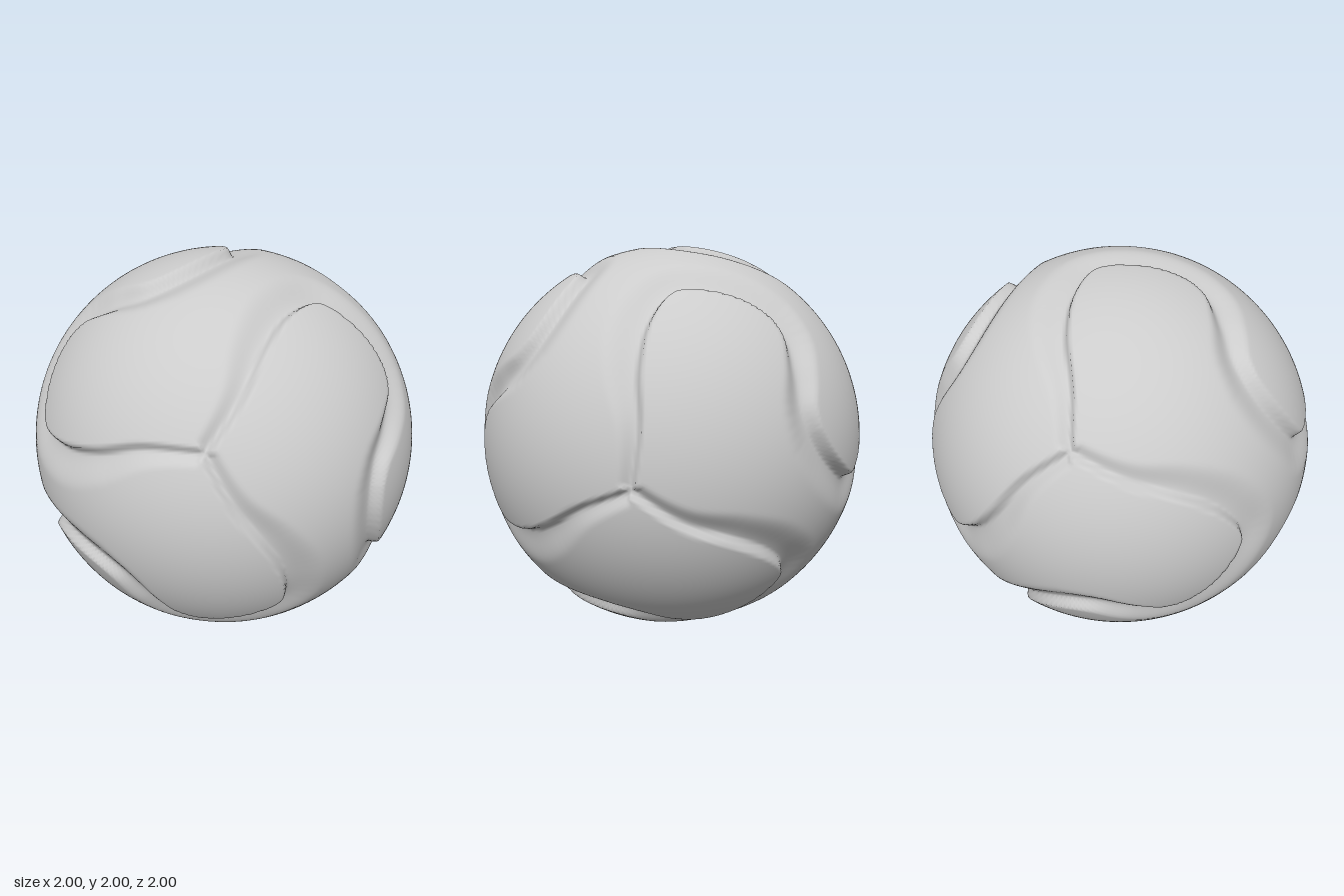
import * as THREE from 'three';
import { mergeGeometries, mergeVertices } from 'three/addons/utils/BufferGeometryUtils.js';

const GRID = 100;          // cells along each cube-sphere patch
const SEAM_STEPS = 96;     // segments per S-shaped seam
const V = (x, y, z) => new THREE.Vector3(x, y, z);

// Six rotations carrying the +z patch onto every side of the cube-sphere
function patchRotations() {
  const turn = new THREE.Matrix4().makeRotationAxis(V(1, 1, 1).normalize(), Math.PI * 2 / 3);
  const flip = new THREE.Matrix4().makeRotationX(Math.PI);
  const list = [];
  let m = new THREE.Matrix4();
  for (let i = 0; i < 3; i++) {
    list.push(m.clone(), m.clone().multiply(flip));
    m = turn.clone().multiply(m);
  }
  return list;
}

// One seam: corner joint -> hooked lobe -> patch centre -> mirrored lobe -> opposite joint
function seamPoints() {
  const half = [[0.816, 0], [0.69, 0.21], [0.555, 0.41], [0.36, 0.565], [0.165, 0.615],
    [0.05, 0.54], [-0.07, 0.36], [-0.09, 0.16]];
  const back = half.map(([u, w]) => [-u, -w]).reverse();
  const pts = [...half, [0, 0], ...back].map(([u, w]) =>
    V((u + w) * Math.SQRT1_2, (u - w) * Math.SQRT1_2, Math.sqrt(1 - u * u - w * w)));
  return new THREE.CatmullRomCurve3(pts).getSpacedPoints(SEAM_STEPS).map(p => p.normalize());
}

// Nearest seam position: distance, side of the seam and place along it (-1..1)
function nearestSeam(p, seams) {
  const best = { d2: Infinity, side: 1, t: 0 };
  const ab = V(), ap = V(), c = V();
  for (const seam of seams) {
    for (let i = 0; i < SEAM_STEPS; i++) {
      const a = seam[i];
      if (p.dot(a) < 0.9) continue;
      ab.subVectors(seam[i + 1], a);
      ap.subVectors(p, a);
      const k = THREE.MathUtils.clamp(ap.dot(ab) / ab.lengthSq(), 0, 1);
      const d2 = c.copy(ap).addScaledVector(ab, -k).lengthSq();
      if (d2 < best.d2) {
        best.d2 = d2;
        best.side = Math.sign(c.crossVectors(ab, ap).dot(a));
        best.t = (i + k) / SEAM_STEPS * 2 - 1;
      }
    }
  }
  return best;
}

// Groove: steep on the lobe edge, a long soft valley on the other side
function surfaceRadius(p, seams) {
  const { d2, side, t } = nearestSeam(p, seams);
  if (d2 > 0.06) return 1;
  const { smoothstep, lerp } = THREE.MathUtils;
  const fromJoint = smoothstep(1 - Math.abs(t), 0, 0.45);
  const gentle = lerp(0.06, 0.18, fromJoint);
  const steep = lerp(0.022, 0.035, fromJoint);
  const lean = THREE.MathUtils.clamp(t * 6, -1, 1) * side;   // +1 lobe edge, -1 valley
  const width = lerp(gentle, steep, (lean + 1) / 2);
  const depth = lerp(0.028, 0.045, fromJoint);
  return 1 - depth * (1 - smoothstep(Math.sqrt(d2), 0, width));
}

export function createModel() {
  const group = new THREE.Group();
  group.name = 'ball';
  const turns = patchRotations();
  const base = seamPoints();
  const seams = turns.map(m => base.map(p => p.clone().applyMatrix4(m)));

  // One curved patch of the skin, pressed in along the seams
  const patch = new THREE.PlaneGeometry(2, 2, GRID, GRID);
  patch.deleteAttribute('uv');
  patch.deleteAttribute('normal');
  const pos = patch.attributes.position;
  const p = V();
  for (let i = 0; i < pos.count; i++) {
    p.set(Math.tan(pos.getX(i) * Math.PI / 4), Math.tan(pos.getY(i) * Math.PI / 4), 1).normalize();
    p.multiplyScalar(surfaceRadius(p, seams));
    pos.setXYZ(i, p.x, p.y, p.z);
  }

  // Six turned copies welded into one continuous skin
  const skin = mergeVertices(mergeGeometries(turns.map(m => patch.clone().applyMatrix4(m))), 1e-4);

  // Tilt of the seam pattern
  const z = V(-0.24, -0.45, 0.89).normalize();
  const y = z.clone().cross(V(0.84, 0.34, 0.42)).normalize();
  const x = y.clone().cross(z);
  skin.applyMatrix4(new THREE.Matrix4().makeBasis(x, y, z));
  skin.translate(0, 1, 0);
  skin.computeVertexNormals();

  const mesh = new THREE.Mesh(skin, new THREE.MeshStandardMaterial({ color: 0xcccccc }));
  mesh.name = 'seamedSkin';
  group.add(mesh);
  return group;
}
